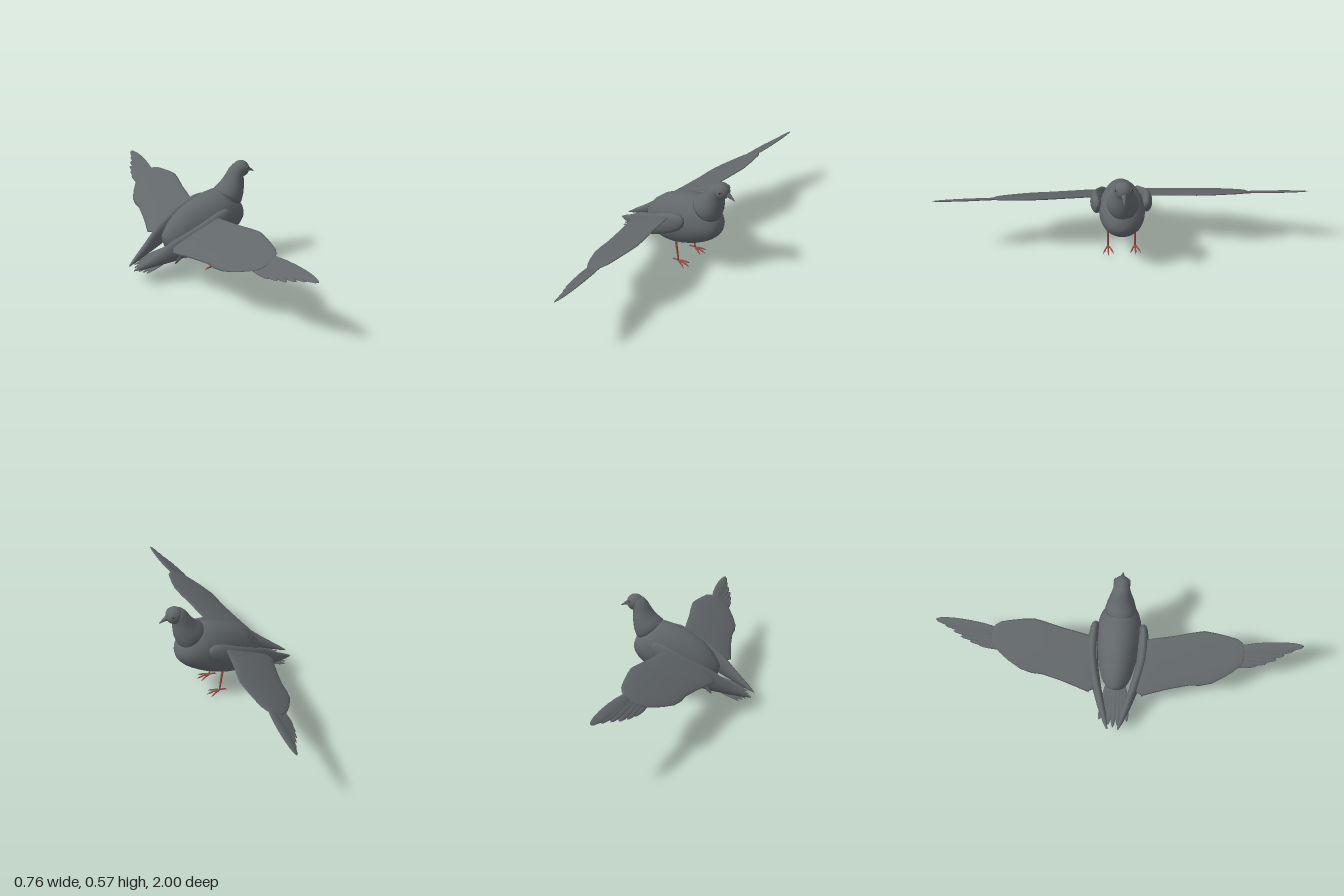
import * as THREE from 'three';

const V = (x, y, z) => new THREE.Vector3(x, y, z);

// Skin through elliptical rings: each section has centre c and half-axes a, b (a x b points along the loft)
function loft(sections, n = 20) {
  const pos = [], idx = [];
  for (const { c, a, b } of sections) {
    for (let i = 0; i < n; i++) {
      const t = (i / n) * Math.PI * 2;
      const p = c.clone().addScaledVector(a, Math.cos(t)).addScaledVector(b, Math.sin(t));
      pos.push(p.x, p.y, p.z);
    }
  }
  const last = sections.length - 1, s0 = sections.length * n, s1 = s0 + 1;
  pos.push(...sections[0].c.toArray(), ...sections[last].c.toArray());
  for (let i = 0; i < n; i++) {
    const j = (i + 1) % n;
    for (let k = 0; k < last; k++) {
      const p = k * n, q = p + n;
      idx.push(p + i, p + j, q + j, p + i, q + j, q + i);
    }
    idx.push(s0, j, i, s1, last * n + i, last * n + j);
  }
  const g = new THREE.BufferGeometry();
  g.setAttribute('position', new THREE.Float32BufferAttribute(pos, 3));
  g.setIndex(idx);
  g.computeVertexNormals();
  return g;
}

// Section given by two outline points in a plane of constant z, plus half-thickness
const ring = (x0, y0, x1, y1, w, z = 0) => ({
  c: V((x0 + x1) / 2, (y0 + y1) / 2, z),
  a: V((x1 - x0) / 2, (y1 - y0) / 2, 0),
  b: V(0, 0, w),
});

// Stretched ellipsoid from p to q, used for feathers and toes
function blade(p, q, width, thick, normal) {
  const d = q.clone().sub(p), len = d.length();
  d.normalize();
  const n = normal.clone().addScaledVector(d, -normal.dot(d)).normalize();
  const s = d.clone().cross(n);
  const m = new THREE.Matrix4().makeBasis(d, n, s).setPosition(p.clone().add(q).multiplyScalar(0.5));
  return new THREE.SphereGeometry(1, 12, 8).rotateZ(Math.PI / 2)
    .scale(len / 2, thick / 2, width / 2).applyMatrix4(m);
}

// Mirror across the z = 0 plane
function mirrored(geo) {
  const g = geo.clone(), p = g.attributes.position, nn = g.attributes.normal, ix = g.index.array;
  for (let i = 0; i < p.count; i++) {
    p.setZ(i, -p.getZ(i));
    nn.setZ(i, -nn.getZ(i));
  }
  for (let i = 0; i < ix.length; i += 3) [ix[i], ix[i + 1]] = [ix[i + 1], ix[i]];
  return g;
}

export function createModel() {
  const model = new THREE.Group();
  model.name = 'bird';
  const mat = (name, color) => Object.assign(new THREE.MeshStandardMaterial({ color }), { name });
  const plumage = mat('grey plumage', 0x62676a);
  const legRed = mat('leg red', 0x9a4840);
  const pupilDark = mat('pupil dark', 0x202022);

  const add = (name, geo, material = plumage) => {
    const m = new THREE.Mesh(geo, material);
    m.name = name;
    model.add(m);
  };
  const pair = (name, geo, material = plumage) => {
    add(name + 'Right', geo, material);
    add(name + 'Left', mirrored(geo), material);
  };

  // Plump body: x, bottom, top, half-width
  add('body', loft([
    [-0.186, 0.19, 0.235, 0.025], [-0.165, 0.125, 0.27, 0.05], [-0.14, 0.098, 0.302, 0.07],
    [-0.11, 0.086, 0.33, 0.084], [-0.08, 0.082, 0.356, 0.093], [-0.03, 0.081, 0.384, 0.105],
    [0.02, 0.09, 0.405, 0.115], [0.08, 0.11, 0.426, 0.122], [0.14, 0.136, 0.437, 0.122],
    [0.18, 0.157, 0.425, 0.116], [0.22, 0.182, 0.4, 0.104], [0.255, 0.208, 0.372, 0.086],
    [0.28, 0.234, 0.345, 0.062], [0.292, 0.252, 0.318, 0.04], [0.298, 0.272, 0.295, 0.014],
  ].map(([x, lo, hi, w]) => ring(x, lo, x, hi, w)), 28));

  // Neck: throat point, nape point, half-width
  add('neck', loft([
    [0.27, 0.32, 0.13, 0.42, 0.075], [0.286, 0.35, 0.142, 0.44, 0.084], [0.299, 0.39, 0.165, 0.458, 0.075],
    [0.304, 0.43, 0.187, 0.477, 0.065], [0.304, 0.465, 0.208, 0.507, 0.055],
    [0.303, 0.492, 0.226, 0.537, 0.048], [0.312, 0.51, 0.25, 0.56, 0.042], [0.315, 0.535, 0.28, 0.565, 0.03],
  ].map(([x0, y0, x1, y1, w]) => ring(x0, y0, x1, y1, w)), 24));

  const head = new THREE.SphereGeometry(0.046, 24, 16);
  add('head', head.scale(1.02, 1, 0.98).translate(0.293, 0.53, 0));

  // Tapered, slightly hooked beak
  add('beak', loft([
    [0.325, 0.508, 0.33, 0.54, 0.016], [0.34, 0.508, 0.345, 0.533, 0.012],
    [0.36, 0.504, 0.362, 0.517, 0.007], [0.377, 0.499, 0.378, 0.503, 0.002],
  ].map(([x0, y0, x1, y1, w]) => ring(x0, y0, x1, y1, w)), 12));

  // Eyes: lid ring, iris and pupil
  pair('eyelid', new THREE.TorusGeometry(0.009, 0.0025, 8, 18).scale(1.1, 0.8, 1)
    .rotateY(0.42).translate(0.312, 0.543, 0.0385));
  pair('iris', new THREE.SphereGeometry(0.0075, 12, 8).scale(1, 0.75, 0.5)
    .rotateY(0.42).translate(0.312, 0.543, 0.0385), legRed);
  pair('pupil', new THREE.SphereGeometry(0.004, 10, 8).scale(1, 1, 0.5)
    .rotateY(0.42).translate(0.3135, 0.543, 0.0418), pupilDark);

  // Folded wing covers along the flanks: x, bottom, top, z, half-thickness
  pair('foldedWing', loft([
    [-0.38, 0.079, 0.084, 0.03, 0.004], [-0.345, 0.084, 0.112, 0.043, 0.013],
    [-0.27, 0.1, 0.166, 0.07, 0.021], [-0.18, 0.12, 0.24, 0.1, 0.026], [-0.1, 0.143, 0.283, 0.122, 0.028],
    [-0.03, 0.182, 0.32, 0.136, 0.03], [0.03, 0.215, 0.348, 0.138, 0.03], [0.08, 0.243, 0.368, 0.136, 0.028],
    [0.12, 0.272, 0.373, 0.132, 0.025], [0.142, 0.3, 0.363, 0.13, 0.018], [0.151, 0.328, 0.345, 0.13, 0.007],
  ].map(([x, lo, hi, z, w]) => ring(x, lo, x, hi, w, z)), 20));
  [[-0.085, 0.25, -0.197, 0.128], [-0.055, 0.25, -0.132, 0.148]].forEach(([x0, y0, x1, y1], i) =>
    pair('flankFeather' + i, blade(V(x0, y0, 0.158), V(x1, y1, 0.148), 0.024, 0.01, V(0, 0, 1))));

  // Outstretched wings lie on one tilted plane: z, trailing x, leading x, half-thickness
  const slope = 0.53, wingY = x => 0.307 + slope * x;
  const up = V(-slope, 1, 0).normalize();
  pair('spreadWing', loft([
    [0.11, -0.19, 0.04, 0.008], [0.15, -0.21, 0.065, 0.013], [0.22, -0.188, 0.078, 0.014],
    [0.3, -0.165, 0.092, 0.014], [0.4, -0.142, 0.115, 0.014], [0.46, -0.139, 0.126, 0.013],
    [0.52, -0.125, 0.121, 0.012], [0.59, -0.088, 0.11, 0.011], [0.64, -0.053, 0.1, 0.01],
    [0.67, -0.028, 0.083, 0.008], [0.685, 0.0, 0.06, 0.004],
  ].map(([z, x0, x1, w]) => {
    const s = ring(x0, wingY(x0), x1, wingY(x1), w, z);
    s.b = up.clone().multiplyScalar(w);
    return s;
  }), 20));

  // Fanned flight feathers: base x, base z, tip x, tip z, width
  [
    [0.05, 0.62, 0.088, 1.0, 0.06], [0.04, 0.61, 0.062, 0.945, 0.046], [0.025, 0.6, 0.038, 0.9, 0.042],
    [0.01, 0.59, 0.015, 0.86, 0.04], [-0.005, 0.58, -0.004, 0.81, 0.038], [-0.02, 0.57, -0.018, 0.76, 0.034],
  ].forEach(([x0, z0, x1, z1, w], i) => pair('flightFeather' + i, blade(
    V(x0, wingY(x0) - 0.003 * i, z0), V(x1, wingY(x1) - 0.002 * i, z1), w, 0.013, up)));

  // Tail fan
  for (let i = -3; i <= 3; i++) {
    const k = Math.abs(i);
    add('tailFeather', blade(V(-0.1, 0.15 - 0.002 * k, i * 0.012), V(-0.365 + 0.012 * k, 0.062 + 0.004 * k, i * 0.026),
      0.036, 0.014, V(-0.35, 1, 0)));
  }

  // Legs, and feet with three front toes and one rear toe
  pair('leg', loft([
    [0.05, 0.135, 0.064, 0.135, 0.007], [0.06, 0.08, 0.071, 0.08, 0.006],
    [0.068, 0.03, 0.077, 0.03, 0.005], [0.071, 0.012, 0.079, 0.012, 0.006],
  ].reverse().map(([x0, y0, x1, y1, w]) => ring(x1, y1, x0, y0, w, 0.075)), 10), legRed);
  [[0.142, 0], [0.128, 0.026], [0.128, -0.026], [0.036, 0]].forEach(([x, dz], i) => {
    const root = V(0.072, 0.012, 0.075), tip = V(x, 0.006, 0.075 + dz);
    const knuckle = root.clone().lerp(tip, 0.55).setY(0.014);
    const claw = tip.clone().lerp(root, -0.12).setY(0.003);
    pair('toe' + i, blade(root, knuckle.clone().lerp(tip, 0.2), 0.01, 0.01, V(0, 1, 0)), legRed);
    pair('toeTip' + i, blade(knuckle.clone().lerp(root, 0.15), tip, 0.009, 0.01, V(0, 1, 0)), legRed);
    pair('claw' + i, blade(tip.clone().lerp(root, 0.1), claw, 0.004, 0.004, V(0, 1, 0)));
  });

  return model;
}
